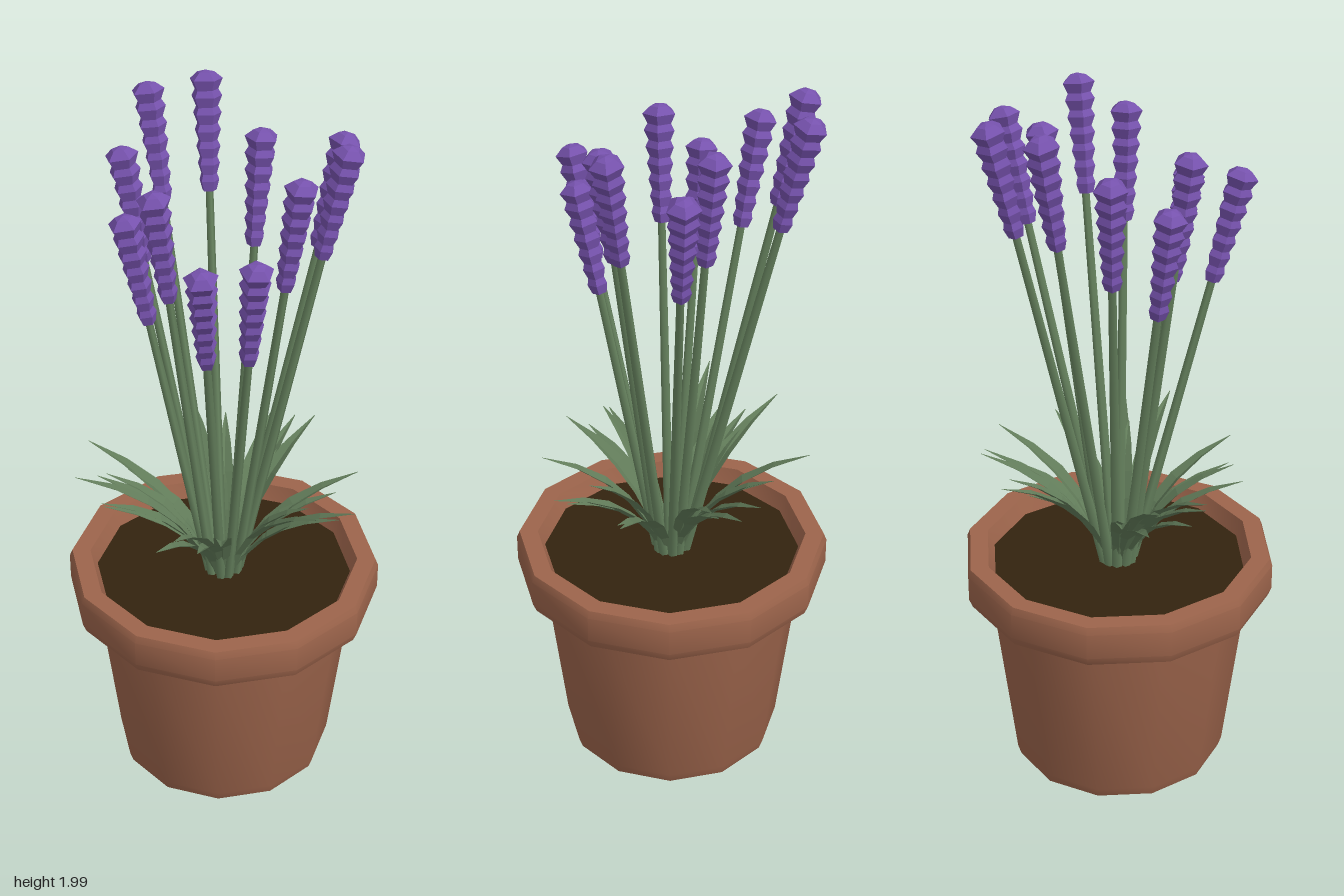
import * as THREE from 'three';
import { toCreasedNormals } from 'three/addons/utils/BufferGeometryUtils.js';

const material = (name, color, extra = {}) => {
  const m = new THREE.MeshStandardMaterial({ color, ...extra });
  m.name = name;
  return m;
};
const SOIL_Y = 0.62;

// flower tips: x, y, z
const FLOWERS = [
  [-0.05, 1.99, -0.345], [0.125, 1.985, -0.35], [-0.18, 1.88, -0.235],
  [-0.245, 1.77, -0.08], [-0.215, 1.88, 0.035], [-0.2, 1.77, 0.27],
  [-0.033, 1.74, 0.25], [0.13, 1.9, 0.18], [0.28, 1.95, 0.155],
  [0.17, 1.91, -0.11], [0.38, 1.885, -0.035],
];

// leaf tips: x, y, z
const LEAVES = [
  [-0.4, 0.995, -0.105], [-0.35, 0.93, -0.045], [-0.285, 0.94, -0.155], [-0.275, 0.96, -0.3],
  [-0.29, 0.9, -0.21], [-0.33, 0.89, -0.08], [-0.2, 0.9, -0.2], [-0.295, 0.9, 0.185],
  [-0.25, 0.93, 0.2], [-0.16, 0.95, 0.3], [-0.2, 0.9, 0.24], [0.105, 0.98, 0.35],
  [0.24, 0.93, 0.31], [0.21, 0.9, 0.28], [0.15, 0.92, 0.22], [0.355, 0.92, 0.13],
  [0.28, 0.88, 0.14], [0.295, 0.95, -0.24], [0.33, 0.93, -0.19], [0.35, 0.97, -0.11],
  [0.26, 0.89, -0.13], [0.08, 0.98, -0.38], [0.15, 0.94, -0.28], [0.1, 0.9, -0.26],
];

const soilPoint = (x, z, r) => {
  const d = Math.hypot(x, z);
  return new THREE.Vector3((x / d) * r, SOIL_Y - 0.01, (z / d) * r);
};

// stands a y-up mesh between two points
function place(mesh, from, to) {
  const dir = to.clone().sub(from).normalize();
  mesh.position.copy(from);
  mesh.quaternion.setFromUnitVectors(new THREE.Vector3(0, 1, 0), dir);
  return mesh;
}

// folded blade arching out from the centre to its tip
function leafGeometry([x, y, z]) {
  const base = soilPoint(x, z, 0.035);
  const tip = new THREE.Vector3(x, y, z);
  const bend = new THREE.Vector3(x * 0.3, SOIL_Y + (y - SOIL_Y) * 0.67, z * 0.3);
  const curve = new THREE.QuadraticBezierCurve3(base, bend, tip);
  const side = new THREE.Vector3(z, 0, -x).normalize();
  const widths = [0.011, 0.018, 0.024, 0.025, 0.016, 0.001];
  const rows = widths.map((w, i) => {
    const t = i / (widths.length - 1);
    const p = curve.getPoint(t);
    const up = curve.getTangent(t).cross(side).normalize();
    if (up.y < 0) up.negate();
    const edge = (s) => p.clone().addScaledVector(side, s * w).addScaledVector(up, w * 0.45);
    return [edge(-1), p, edge(1)];
  });
  const points = [];
  for (let i = 0; i < rows.length - 1; i++) {
    for (let j = 0; j < 2; j++) {
      const a = rows[i][j], b = rows[i][j + 1], c = rows[i + 1][j + 1], d = rows[i + 1][j];
      points.push(a, b, c, a, c, d);
    }
  }
  const g = new THREE.BufferGeometry().setFromPoints(points);
  g.computeVertexNormals();
  return g;
}

// stacked five-sided tiers, widening towards the top
function spikeGeometry(length) {
  const tiers = 7, step = length / (tiers + 0.2);
  const profile = [new THREE.Vector2(0, 0)];
  for (let i = 0; i < tiers; i++) {
    const r = 0.028 + (0.018 * i) / (tiers - 1);
    profile.push(new THREE.Vector2(r * 0.72, i * step + 0.002));
    profile.push(new THREE.Vector2(r, (i + 0.65) * step));
  }
  profile.push(new THREE.Vector2(0.024, length - 0.006), new THREE.Vector2(0, length));
  return new THREE.LatheGeometry(profile, 5);
}

export function createModel() {
  const terracotta = material('terracotta', 0x9c644b);
  const earth = material('earth', 0x33230f);
  const stemGreen = material('stem green', 0x66825e);
  const leafGreen = material('leaf green', 0x617b59, { side: THREE.DoubleSide });
  const purple = material('petal purple', 0x7652ad, { flatShading: true });

  const model = new THREE.Group();
  model.name = 'pottedFlowers';
  const add = (name, geometry, mat, parent = model) => {
    const mesh = new THREE.Mesh(geometry, mat);
    mesh.name = name;
    parent.add(mesh);
    return mesh;
  };

  // twelve-sided pot with a thick rim
  const potProfile = [
    [0, 0], [0.3, 0], [0.31, 0.03], [0.372, 0.545], [0.43, 0.545], [0.44, 0.57],
    [0.44, 0.645], [0.432, 0.665], [0.38, 0.665], [0.355, 0.6],
  ].map(([r, y]) => new THREE.Vector2(r, y));
  add('pot', toCreasedNormals(new THREE.LatheGeometry(potProfile, 12), 0.6), terracotta);

  const soil = add('soil', new THREE.CylinderGeometry(0.361, 0.355, 0.02, 12), earth);
  soil.position.y = SOIL_Y - 0.01;

  // flower stalks
  const flowers = new THREE.Group();
  flowers.name = 'flowers';
  model.add(flowers);
  const spikeLength = 0.325;
  const spike = spikeGeometry(spikeLength);
  FLOWERS.forEach(([x, y, z], i) => {
    const base = soilPoint(x, z, 0.04);
    const tip = new THREE.Vector3(x, y, z);
    const total = base.distanceTo(tip);
    const stemLength = total - spikeLength + 0.02;
    const stemShape = new THREE.CylinderGeometry(0.011, 0.015, stemLength, 5);
    stemShape.translate(0, stemLength / 2, 0);
    place(add('stem', stemShape, stemGreen, flowers), base, tip);
    const start = base.clone().lerp(tip, 1 - spikeLength / total);
    const head = place(add('flowerSpike', spike, purple, flowers), start, tip);
    head.rotateY(i * 1.3);
  });

  // leaf rosette
  const leaves = new THREE.Group();
  leaves.name = 'leaves';
  model.add(leaves);
  LEAVES.forEach((tip) => add('leaf', leafGeometry(tip), leafGreen, leaves));

  return model;
}
